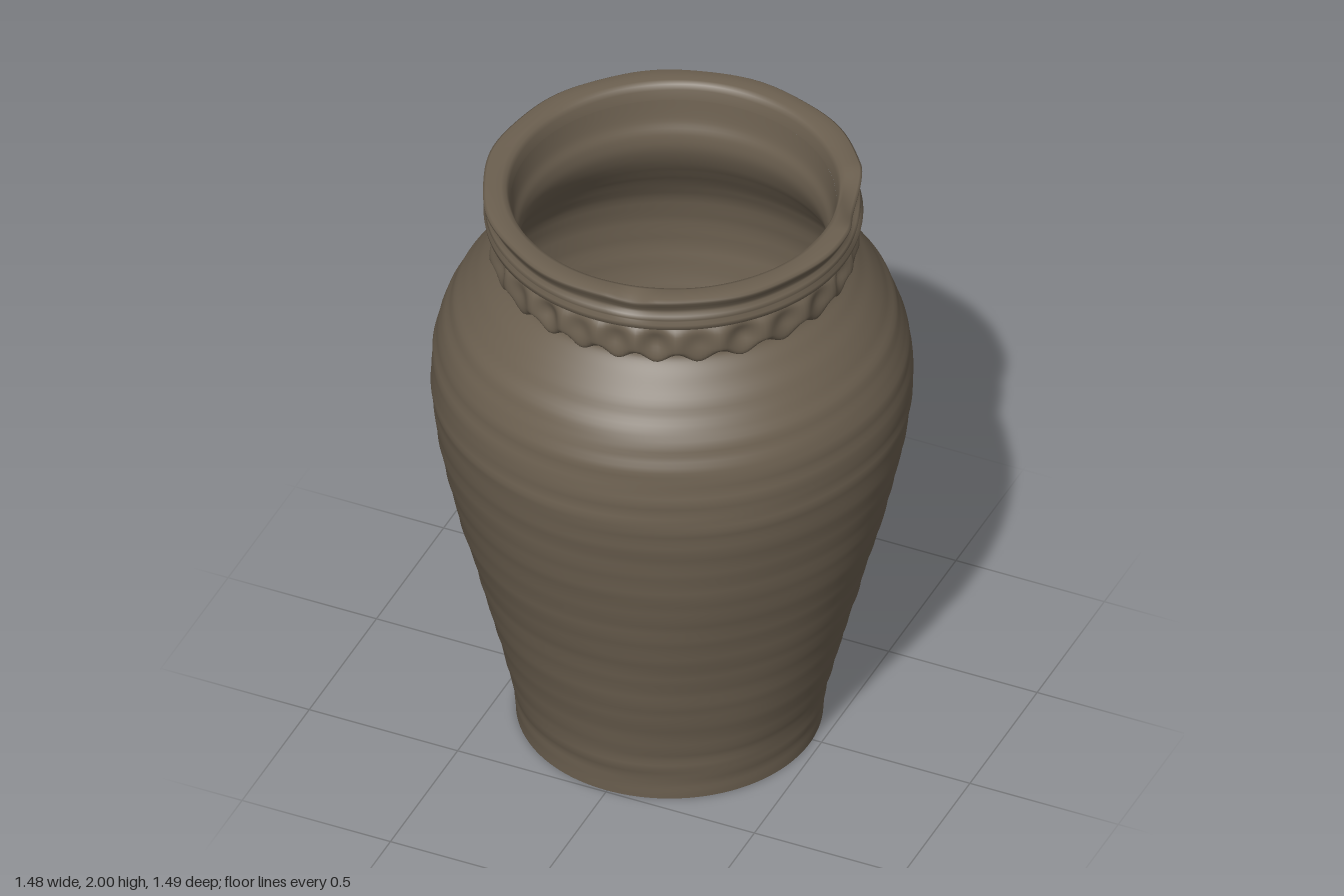
import * as THREE from 'three';
import { mergeVertices } from 'three/addons/utils/BufferGeometryUtils.js';

const SEGMENTS = 260;
const PRINTS = 26; // thumb prints around the collar

// soft bump, 1 at the centre and 0 beyond the given half width
const bump = (v, centre, half) => {
  const t = Math.min(1, Math.abs(v - centre) / half);
  return (1 - t * t) ** 2;
};

// smooth curve through profile points [radius, height]
function smooth(points, count) {
  const curve = new THREE.SplineCurve(points.map(([r, y]) => new THREE.Vector2(r, y)));
  return curve.getPoints(count);
}

const straight = (points) => points.map(([r, y]) => new THREE.Vector2(r, y));

// turn a profile, then push its vertices with rule(radius, height, angle) -> [radius, height]
function turned(name, profile, material, rule) {
  let geometry = new THREE.LatheGeometry(profile, SEGMENTS);
  const p = geometry.attributes.position;
  for (let i = 0; i < p.count; i++) {
    const x = p.getX(i), y = p.getY(i), z = p.getZ(i);
    const angle = Math.atan2(x, z);
    const [r, h] = rule(Math.hypot(x, z), y, angle);
    // the pot leans slightly backwards
    p.setXYZ(i, r * Math.sin(angle) - 0.003, h, r * Math.cos(angle) + 0.02 - 0.015 * h);
  }
  geometry.deleteAttribute('uv');
  geometry.deleteAttribute('normal');
  geometry = mergeVertices(geometry, 1e-5);
  geometry.computeVertexNormals();
  const mesh = new THREE.Mesh(geometry, material);
  mesh.name = name;
  return mesh;
}

// faint throwing rings and hand-made unevenness
function handmade(r, y, a) {
  const fade = Math.min(1, y / 0.1) * Math.min(1, Math.max(0, (1.74 - y) / 0.2));
  const rings = 0.0016 * Math.sin(y * 62 + Math.sin(a) * 1.5) + 0.001 * Math.sin(y * 105 + 2 * Math.cos(a + 1));
  const dents = 0.002 * Math.sin(a * 5 + y * 9) * Math.sin(y * 14 - a * 3);
  return [r + fade * (rings + dents), y];
}

// row of pressed thumb prints with raised ridges between them
function thumbPrints(r, y, a) {
  const index = (a / (2 * Math.PI)) * PRINTS + 0.15 * Math.sin(3 * a);
  const u = index - Math.floor(index);
  const vary = 0.8 + 0.2 * Math.sin(Math.floor(index) * 2.4);
  const cup = bump(u, 0.48, 0.5) * bump(y, 1.81, 0.065);
  const hem = bump(y, 1.75, 0.04) * 0.014 * Math.cos(2 * Math.PI * (u - 0.5));
  return [r - 0.034 * cup * vary, y - hem];
}

// uneven lip with broken edges
function wornRim(r, y, a) {
  const top = Math.min(1, Math.max(0, (y - 1.9) / 0.08));
  const outer = Math.min(1, Math.max(0, (r - 0.51) / 0.06));
  const wave = 0.003 * Math.sin(a + 0.4) + 0.0015 * Math.sin(7 * a) * Math.sin(3 * a + 1);
  const chip = bump(a, 1.88, 0.3) + 0.45 * bump(a, 0.2, 0.15);
  return [
    r - outer * top * (0.03 * chip + 0.003 * Math.sin(11 * a + 2)),
    y + top * wave - outer * top * 0.035 * chip,
  ];
}

export function createModel() {
  const group = new THREE.Group();
  group.name = 'clayJar';
  const clay = new THREE.MeshStandardMaterial({ color: 0x6c6050 });
  clay.name = 'brown clay';

  // flat underside
  group.add(turned('base', straight([[0, 0], [0.24, 0], [0.472, 0]]), clay, handmade));

  // swelling outer wall, up to the neck under the collar
  group.add(turned('body', smooth([
    [0.472, 0], [0.479, 0.08], [0.502, 0.2], [0.553, 0.4], [0.604, 0.6], [0.658, 0.8],
    [0.703, 1.0], [0.734, 1.18], [0.74, 1.3], [0.726, 1.42], [0.69, 1.52],
    [0.635, 1.61], [0.575, 1.69], [0.537, 1.74], [0.53, 1.78],
  ], 90), clay, handmade));

  // thumb-printed collar
  group.add(turned('collar', smooth([
    [0.525, 1.745], [0.552, 1.75], [0.57, 1.775], [0.574, 1.81], [0.567, 1.845], [0.55, 1.87],
  ], 18), clay, thumbPrints));

  // grooved neck and flat lip
  group.add(turned('rim', straight([
    [0.55, 1.865], [0.566, 1.872], [0.58, 1.882], [0.583, 1.9], [0.574, 1.908], [0.579, 1.916],
    [0.577, 1.93], [0.566, 1.937], [0.57, 1.95], [0.577, 1.965], [0.587, 1.98], [0.588, 1.99],
    [0.58, 1.996], [0.555, 1.997], [0.53, 1.996], [0.515, 1.99], [0.506, 1.975], [0.5, 1.94],
  ]), clay, wornRim));

  // inner wall
  group.add(turned('interior', smooth([
    [0.5, 1.94], [0.49, 1.87], [0.474, 1.82], [0.476, 1.76], [0.51, 1.68], [0.575, 1.58],
    [0.64, 1.46], [0.67, 1.32], [0.662, 1.18], [0.63, 1.0], [0.585, 0.8],
    [0.53, 0.6], [0.48, 0.4], [0.44, 0.22], [0.41, 0.13], [0.34, 0.09],
  ], 70), clay, handmade));

  // floor inside the jar
  group.add(turned('floor', smooth([[0.34, 0.09], [0.2, 0.08], [0.08, 0.08], [0, 0.08]], 12), clay,
    (r, y, a) => [handmade(r, y, a)[0] * (r > 0 ? 1 : 0), y + 0.004 * Math.sin(r * 40 + a) * bump(r, 0.17, 0.17)]));

  return group;
}
